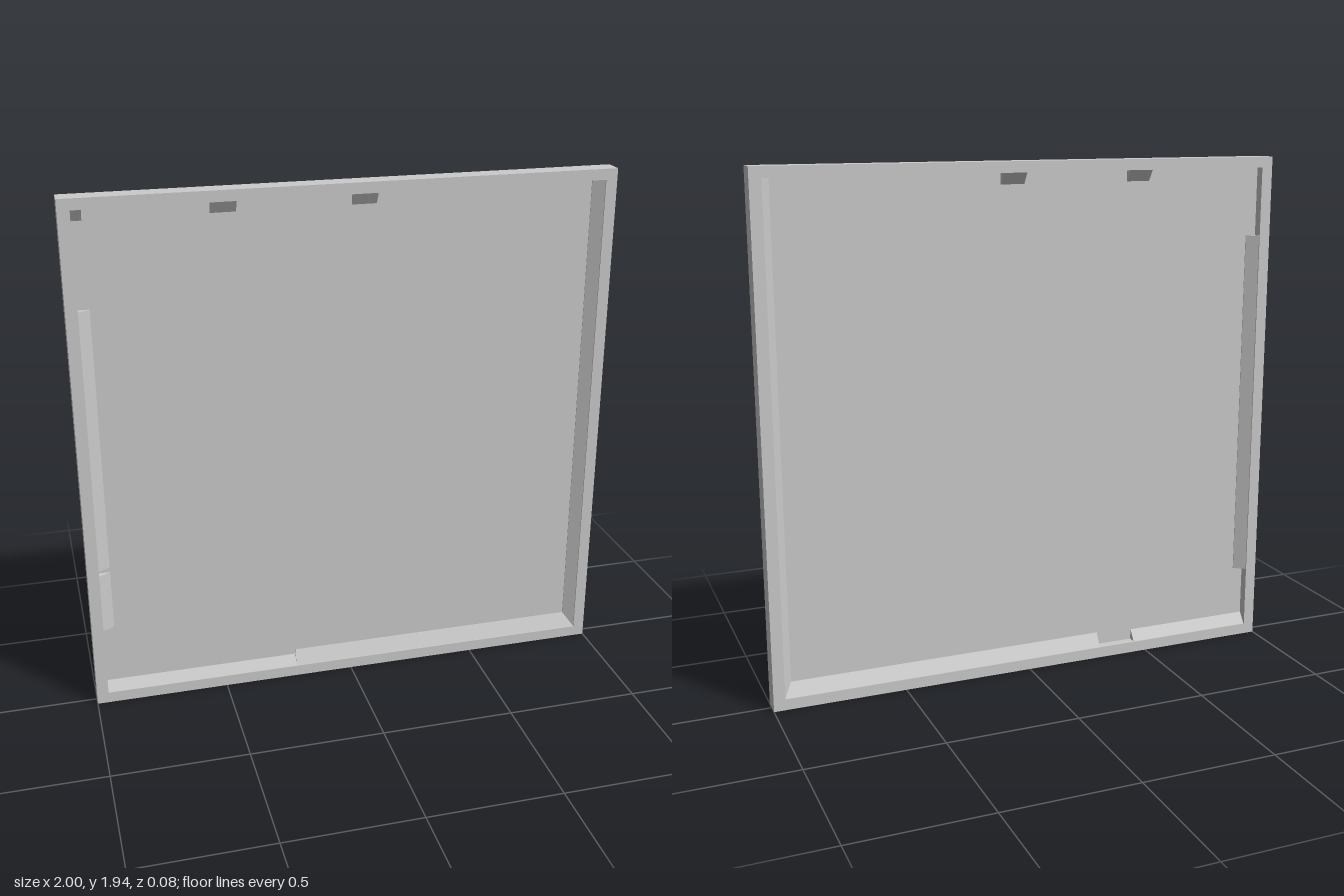
import * as THREE from 'three';

const HALF_W = 1, HEIGHT = 1.94, Z_FRONT = 0.035, Z_BACK = -0.04;
const IN_X = 0.957, IN_BOTTOM = 0.042, IN_TOP = 1.9, PANEL = 0.005;

export function createModel() {
  const model = new THREE.Group();
  const grey = new THREE.MeshStandardMaterial({ color: 0xcccccc, flatShading: true });

  function add(name, geometry) {
    const mesh = new THREE.Mesh(geometry, grey);
    mesh.name = name;
    model.add(mesh);
    return mesh;
  }

  // square surround with a rectangular opening
  const outline = new THREE.Shape([
    new THREE.Vector2(-HALF_W, 0), new THREE.Vector2(HALF_W, 0),
    new THREE.Vector2(HALF_W, HEIGHT), new THREE.Vector2(-HALF_W, HEIGHT),
  ]);
  outline.holes.push(new THREE.Path([
    new THREE.Vector2(-IN_X, IN_BOTTOM), new THREE.Vector2(-IN_X, IN_TOP),
    new THREE.Vector2(IN_X, IN_TOP), new THREE.Vector2(IN_X, IN_BOTTOM),
  ]));
  const frame = new THREE.ExtrudeGeometry(outline, { depth: Z_FRONT - Z_BACK, bevelEnabled: false });
  add('frame', frame.translate(0, 0, Z_BACK));

  // thin recessed panel, visible from both sides
  const panel = new THREE.BoxGeometry(IN_X * 2, IN_TOP - IN_BOTTOM, PANEL * 2);
  add('panel', panel.translate(0, (IN_TOP + IN_BOTTOM) / 2, 0));

  // each inner edge: a point on the wall at distance t along it, and the inward direction
  const edges = {
    right: { at: t => [-IN_X, t, 0], inward: [1, 0, 0] },
    left: { at: t => [IN_X, t, 0], inward: [-1, 0, 0] },
    bottom: { at: t => [t, IN_BOTTOM, 0], inward: [0, 1, 0] },
    top: { at: t => [t, IN_TOP, 0], inward: [0, -1, 0] },
  };

  // triangular strip sloping from the frame's face down to the panel
  function bead(edge, face, from, to, width) {
    const rise = (face > 0 ? Z_FRONT : -Z_BACK) - 0.004;
    const section = new THREE.Shape([
      new THREE.Vector2(0, 0), new THREE.Vector2(width, 0),
      new THREE.Vector2(width, PANEL + 0.002), new THREE.Vector2(0, rise),
    ]);
    const strip = new THREE.ExtrudeGeometry(section, { depth: to - from, bevelEnabled: false });
    strip.translate(0, 0, -(to - from) / 2);
    const { at, inward } = edges[edge];
    const x = new THREE.Vector3(...inward), y = new THREE.Vector3(0, 0, face);
    const place = new THREE.Matrix4().makeBasis(x, y, x.clone().cross(y));
    place.setPosition(...at((from + to) / 2));
    add(`${edge}${face > 0 ? 'Front' : 'Back'}Bead`, strip.applyMatrix4(place));
  }

  // front: long beads on two sides, short clips on the others
  bead('left', 1, IN_BOTTOM, IN_TOP, 0.042);
  bead('bottom', 1, -0.22, IN_X, 0.057);
  bead('bottom', 1, -IN_X, -0.22, 0.038);
  bead('right', 1, 0.31, 0.54, 0.042);
  bead('right', 1, 0.56, 1.55, 0.042);
  bead('top', 1, -0.49, -0.4, 0.042);
  bead('top', 1, 0.01, 0.1, 0.042);
  bead('top', 1, -IN_X, -0.92, 0.042);

  // back
  bead('bottom', -1, -0.3, IN_X, 0.05);
  bead('bottom', -1, -IN_X, -0.45, 0.04);
  bead('right', -1, 0.28, 1.64, 0.042);
  bead('left', -1, IN_BOTTOM, IN_TOP, 0.03);
  bead('top', -1, -0.49, -0.4, 0.042);
  bead('top', -1, 0.01, 0.1, 0.042);

  return model;
}
